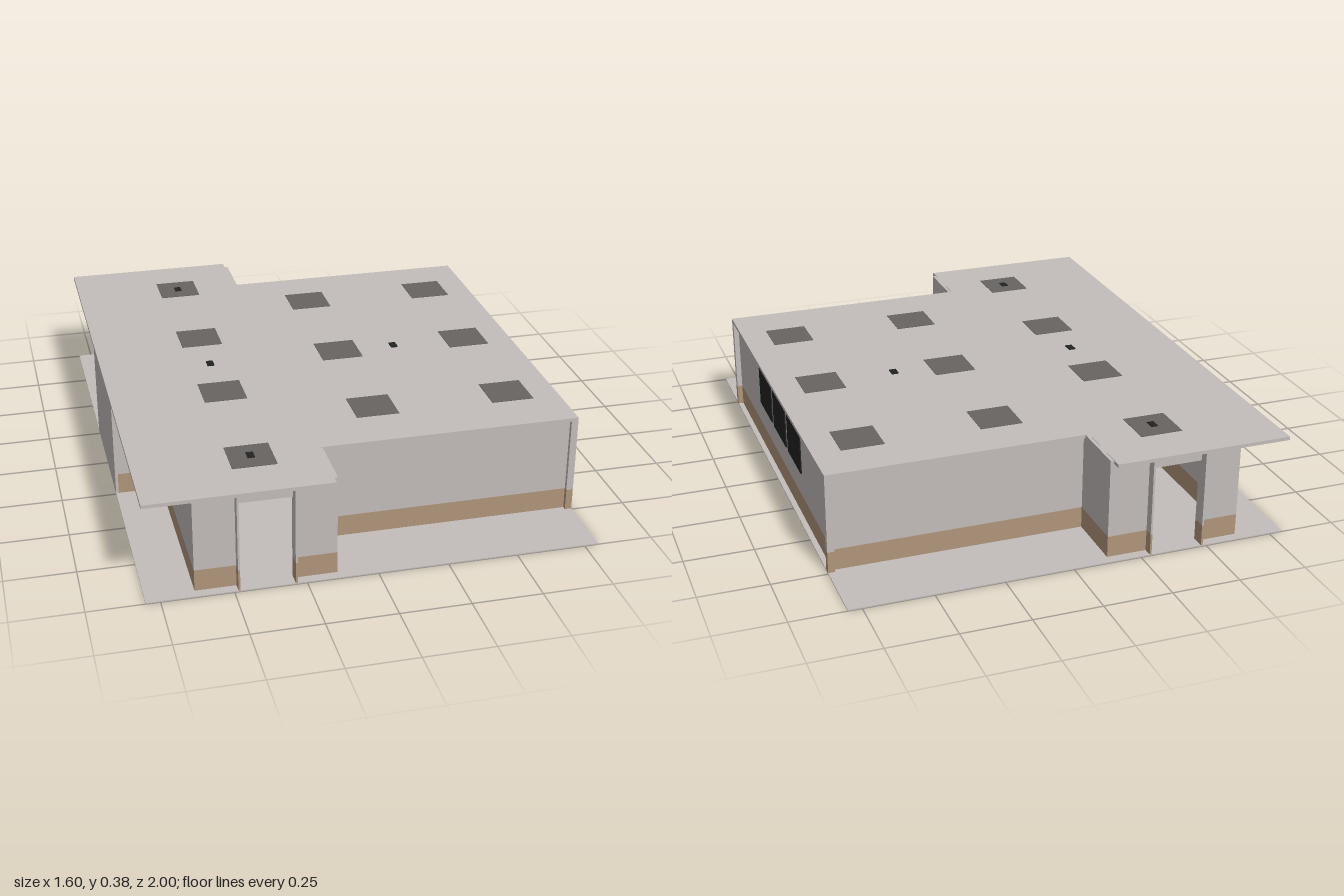
import * as THREE from 'three';

export function createModel() {
  const model = new THREE.Group();
  model.name = 'building';

  const material = (name, color) => {
    const m = new THREE.MeshStandardMaterial({ color });
    m.name = name;
    return m;
  };
  const plaster = material('pale plaster', 0xc3bdba);
  const tan = material('tan base band', 0xb1957b);
  const grey = material('dark grey fixture', 0x676462);
  const black = material('black', 0x222222);

  // Box given by its extents along each axis
  const block = (name, mat, x0, x1, y0, y1, z0, z1) => {
    const mesh = new THREE.Mesh(new THREE.BoxGeometry(x1 - x0, y1 - y0, z1 - z0), mat);
    mesh.position.set((x0 + x1) / 2, (y0 + y1) / 2, (z0 + z1) / 2);
    mesh.name = name;
    model.add(mesh);
  };

  const FLOOR = 0.004, BAND = 0.083, CEILING = 0.362, TOP = 0.375;

  // Wall with a painted band along its foot
  const wall = (name, x0, x1, z0, z1, top = CEILING) => {
    block(name + 'Base', tan, x0, x1, FLOOR, BAND, z0, z1);
    block(name, plaster, x0, x1, BAND, top, z0, z1);
  };
  // The same wall mirrored to the front and the back
  const wallPair = (name, x0, x1, z0, z1, top) => {
    wall(name + 'Front', x0, x1, z0, z1, top);
    wall(name + 'Back', x0, x1, -z1, -z0, top);
  };

  // Ground slab
  block('groundSlab', plaster, -0.8, 0.8, 0, FLOOR, -1, 1);

  // T-shaped roof
  const outline = new THREE.Shape([
    [-0.8, -1], [-0.15, -1], [-0.15, -0.75], [0.8, -0.75],
    [0.8, 0.75], [-0.15, 0.75], [-0.15, 1], [-0.8, 1],
  ].map(([x, z]) => new THREE.Vector2(x, z)));
  const roof = new THREE.Mesh(
    new THREE.ExtrudeGeometry(outline, { depth: TOP - CEILING, bevelEnabled: false }), plaster);
  roof.rotation.x = -Math.PI / 2;
  roof.position.y = CEILING;
  roof.name = 'roof';
  model.add(roof);

  // Main hall
  wall('windowWall', 0.76, 0.78, -0.735, 0.735);
  wallPair('hallWall', -0.14, 0.78, 0.715, 0.735);
  wallPair('cornerPost', 0.775, 0.8, 0.725, 0.75);

  // End wings with a doorway through each
  wallPair('wingSideWall', -0.155, -0.137, 0.73, 0.965, 0.374);
  wallPair('doorWallLeft', -0.29, -0.137, 0.947, 0.965);
  wallPair('doorWallRight', -0.63, -0.48, 0.947, 0.965);
  wallPair('doorJambLeft', -0.29, -0.283, 0.965, 0.999);
  wallPair('doorJambRight', -0.487, -0.48, 0.965, 0.999);
  for (const s of [-1, 1]) {
    const z = [0.947 * s, 0.965 * s].sort((a, b) => a - b);
    block('doorLintel', plaster, -0.48, -0.29, 0.32, CEILING, ...z);
  }

  // Long side wall, broken by a projecting bay
  wall('sideWallBack', -0.63, -0.612, -0.965, -0.28);
  wall('sideWallFront', -0.63, -0.612, 0.25, 0.965);
  wall('bayBackWall', -0.79, -0.612, -0.28, -0.262);
  wall('bayFrontWall', -0.79, -0.612, 0.232, 0.25);
  block('bayPanel', plaster, -0.8, -0.79, FLOOR, CEILING, -0.28, 0.25);

  // Row of three windows
  for (const z of [-0.23, 0, 0.23]) {
    block('window', black, 0.757, 0.784, 0.176, 0.326, z - 0.1, z + 0.1);
  }

  // Square ceiling lights, set through the roof
  const lights = [-0.755, -0.245, 0.245, 0.755].map((z) => [-0.39, z]);
  for (const x of [0.113, 0.62]) {
    for (const z of [-0.51, -0.005, 0.49]) lights.push([x, z]);
  }
  for (const [x, z] of lights) {
    block('ceilingLight', grey, x - 0.078, x + 0.078, CEILING - 0.003, TOP + 0.002, z - 0.077, z + 0.077);
  }

  // Small ceiling sensors
  for (const [x, z] of [[-0.39, -0.753], [-0.39, 0], [-0.39, 0.753], [0.333, 0]]) {
    block('ceilingSensor', black, x - 0.013, x + 0.013, CEILING - 0.006, TOP + 0.004, z - 0.02, z + 0.02);
  }

  return model;
}
